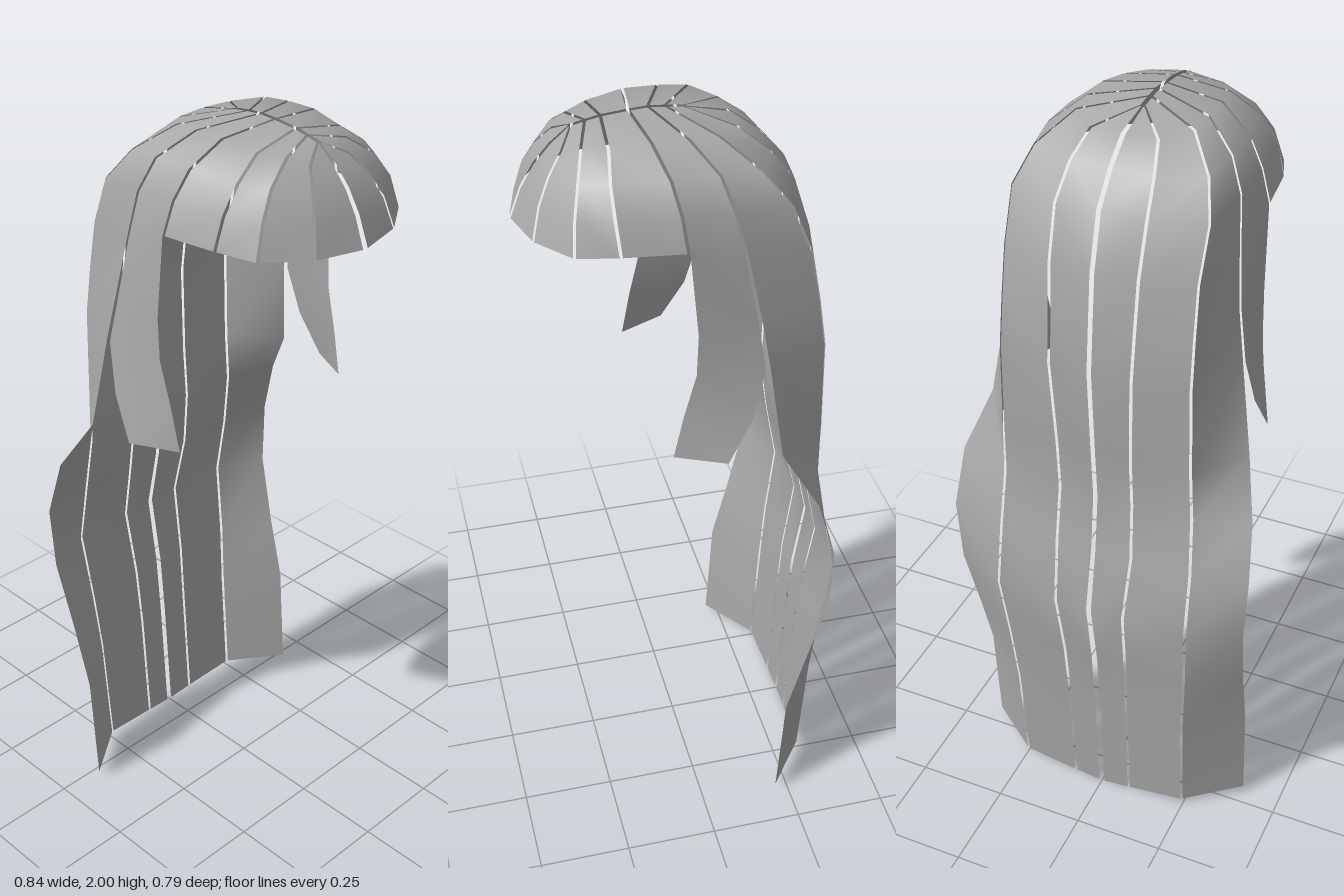
import * as THREE from 'three';

// Seams between hair strips on the +x half, each running from the parting downwards.
const frontCentre = [[.002, 1.968, .25], [.002, 1.93, .295], [.002, 1.885, .335], [.003, 1.83, .368], [.004, 1.755, .397]];
const fringeA = [[.006, 1.972, .245], [.065, 1.94, .278], [.095, 1.895, .315], [.12, 1.835, .345], [.138, 1.758, .365]];
const fringeB = [[.006, 1.98, .21], [.1, 1.96, .238], [.175, 1.91, .262], [.22, 1.845, .28], [.246, 1.762, .289]];
const fringeC = [[.006, 1.988, .172], [.14, 1.965, .182], [.215, 1.915, .195], [.26, 1.85, .195], [.282, 1.77, .188]];
const temple = [[.006, 1.995, .105], [.155, 1.98, .086], [.235, 1.92, .06], [.275, 1.85, .045], [.3, 1.77, .036]];
const ear = [[.006, 1.998, .057], [.155, 1.98, 0], [.235, 1.92, -.055], [.27, 1.84, -.082], [.283, 1.72, -.11]];

// Free-hanging edges below the cap
const lockFront = [...temple, [.305, 1.55, .016], [.305, 1.44, .02], [.3, 1.32, .05], [.295, 1.2, .074]];
const lockBack = [...ear, [.3, 1.57, -.138], [.322, 1.44, -.155], [.34, 1.31, -.122], [.357, 1.2, -.058]];
const backSide = [...ear, [.3, 1.57, -.14], [.322, 1.44, -.16], [.36, 1.2, -.19], [.408, 1.06, -.28],
  [.422, .9, -.327], [.413, .72, -.325], [.402, .52, -.275], [.398, .34, -.228], [.398, .025, -.21]];
const backOuter = [[.006, 1.995, .015], [.15, 1.975, -.075], [.22, 1.91, -.16], [.25, 1.83, -.225], [.248, 1.7, -.28],
  [.25, 1.57, -.305], [.252, 1.44, -.325], [.256, 1.2, -.328], [.26, 1.06, -.325], [.268, .9, -.35],
  [.27, .72, -.385], [.26, .52, -.36], [.25, .34, -.345], [.246, .02, -.325]];
const backInner = [[.006, 1.99, -.03], [.085, 1.965, -.135], [.105, 1.91, -.205], [.115, 1.83, -.27], [.113, 1.7, -.313],
  [.11, 1.57, -.33], [.108, 1.44, -.347], [.1, 1.2, -.337], [.1, 1.06, -.33], [.105, .9, -.35],
  [.097, .72, -.39], [.09, .52, -.362], [.086, .34, -.35], [.085, .007, -.333]];
const backCentre = [[.002, 1.988, -.035], [.002, 1.967, -.14], [.002, 1.915, -.21], [.002, 1.84, -.277], [.002, 1.7, -.32],
  [.002, 1.57, -.336], [.002, 1.44, -.351], [.002, 1.2, -.34], [.002, 1.06, -.332], [.002, .9, -.352],
  [.003, .72, -.392], [.004, .52, -.364], [.004, .34, -.352], [.004, 0, -.336]];

const GAP = 0.004;

// Ribbon between two seams, pulled in a little from each so a gap shows
function strip(a, b, side) {
  const pos = [], index = [];
  a.forEach((p, i) => {
    const l = new THREE.Vector3(...p), r = new THREE.Vector3(...b[i]);
    const d = r.clone().sub(l);
    d.setLength(Math.min(GAP, d.length() * 0.2));
    l.add(d);
    r.sub(d);
    pos.push(l.x * side, l.y, l.z, r.x * side, r.y, r.z);
    if (i === 0) return;
    const k = 2 * i - 2;
    if (side > 0) index.push(k, k + 2, k + 3, k, k + 3, k + 1);
    else index.push(k, k + 3, k + 2, k, k + 1, k + 3);
  });
  const g = new THREE.BufferGeometry();
  g.setAttribute('position', new THREE.Float32BufferAttribute(pos, 3));
  g.setIndex(index);
  g.computeVertexNormals();
  return g;
}

export function createModel() {
  const hair = new THREE.MeshStandardMaterial({ color: 0xa8a8a8, side: THREE.DoubleSide });
  hair.name = 'hair grey';
  const strips = [
    ['fringeCentre', frontCentre, fringeA],
    ['fringeMiddle', fringeA, fringeB],
    ['fringeOuter', fringeB, fringeC],
    ['fringeTemple', fringeC, temple],
    ['sideLock', lockFront, lockBack],
    ['backOuterStrip', backSide, backOuter],
    ['backMiddleStrip', backOuter, backInner],
    ['backCentreStrip', backInner, backCentre],
  ];
  const model = new THREE.Group();
  model.name = 'longHair';
  for (const side of [1, -1]) {
    const half = new THREE.Group();
    half.name = side > 0 ? 'leftHalf' : 'rightHalf';
    for (const [name, a, b] of strips) {
      const mesh = new THREE.Mesh(strip(a, b, side), hair);
      mesh.name = name;
      half.add(mesh);
    }
    model.add(half);
  }
  return model;
}
